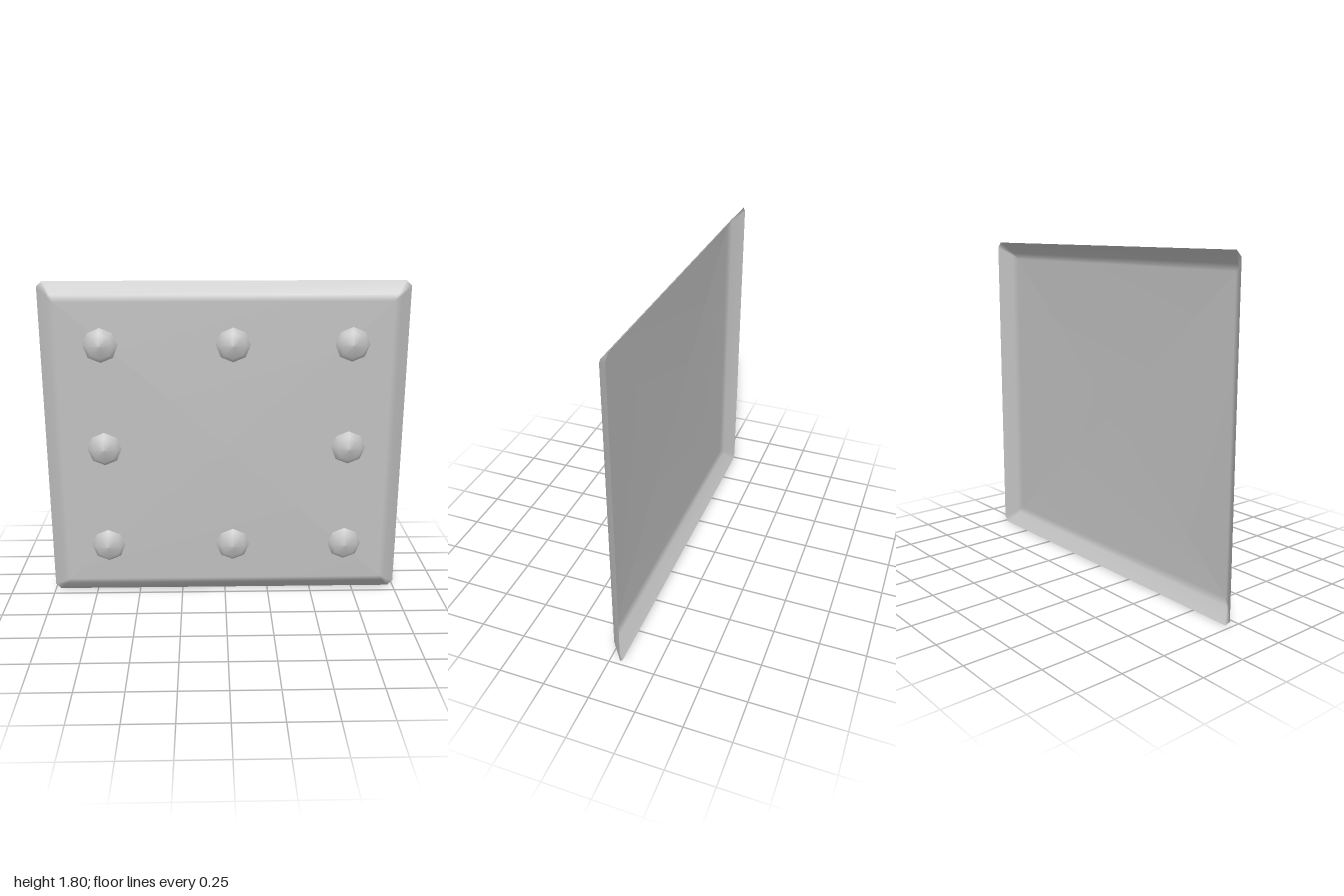
import * as THREE from 'three';

const MID_Y = 0.9025;

// Corner-cut rectangle, counter-clockwise seen from +z
function cutRectangle(w, h, c, z) {
  return [
    [w, -h + c, z], [w, h - c, z], [w - c, h, z], [-w + c, h, z],
    [-w, h - c, z], [-w, -h + c, z], [-w + c, -h, z], [w - c, -h, z],
  ];
}

// Open-backed shell made of nested loops, closed at the front by a fan
function plateGeometry() {
  // inset from the rim, corner cut, z
  const loops = [[0, 0.03, -0.064], [0.065, 0.012, -0.004], [0.1, 0.006, 0.013]];
  const positions = [];
  const index = [];
  for (const [inset, cut, z] of loops) {
    positions.push(...cutRectangle(1 - inset, MID_Y - inset, cut, z).flat());
  }
  const n = 8;
  for (let ring = 0; ring < loops.length - 1; ring++) {
    for (let i = 0; i < n; i++) {
      const a = ring * n + i;
      const b = ring * n + (i + 1) % n;
      index.push(a, b, b + n, a, b + n, a + n);
    }
  }
  const last = (loops.length - 1) * n;
  const centre = loops.length * n;
  positions.push(0, 0, 0.013);
  for (let i = 0; i < n; i++) index.push(last + i, last + (i + 1) % n, centre);

  const geometry = new THREE.BufferGeometry();
  geometry.setAttribute('position', new THREE.Float32BufferAttribute(positions, 3));
  geometry.setIndex(index);
  geometry.computeVertexNormals();
  return geometry;
}

export function createModel() {
  const group = new THREE.Group();
  group.name = 'rivetedPlate';
  const metal = new THREE.MeshStandardMaterial({ color: 0xc0c0c0, side: THREE.DoubleSide });
  metal.name = 'grey metal';

  // Plate with bevelled edges
  const plate = new THREE.Mesh(plateGeometry(), metal);
  plate.name = 'plate';
  plate.position.y = MID_Y;
  group.add(plate);

  // Shallow eight-sided rivet heads around the border
  const profile = [[0.094, 0.02], [0.068, 0.048], [0, 0.063]];
  const dome = new THREE.LatheGeometry(profile.map(([r, y]) => new THREE.Vector2(r, y)), 8);
  dome.rotateX(Math.PI / 2);
  const columns = [-0.667, 0.043, 0.683];
  const rows = [0.315, 0.895, 1.475];
  rows.forEach((y, row) => columns.forEach((x, column) => {
    if (row === 1 && column === 1) return;
    const rivet = new THREE.Mesh(dome, metal);
    rivet.name = 'rivet';
    rivet.position.set(x, y, 0);
    group.add(rivet);
  }));

  return group;
}
